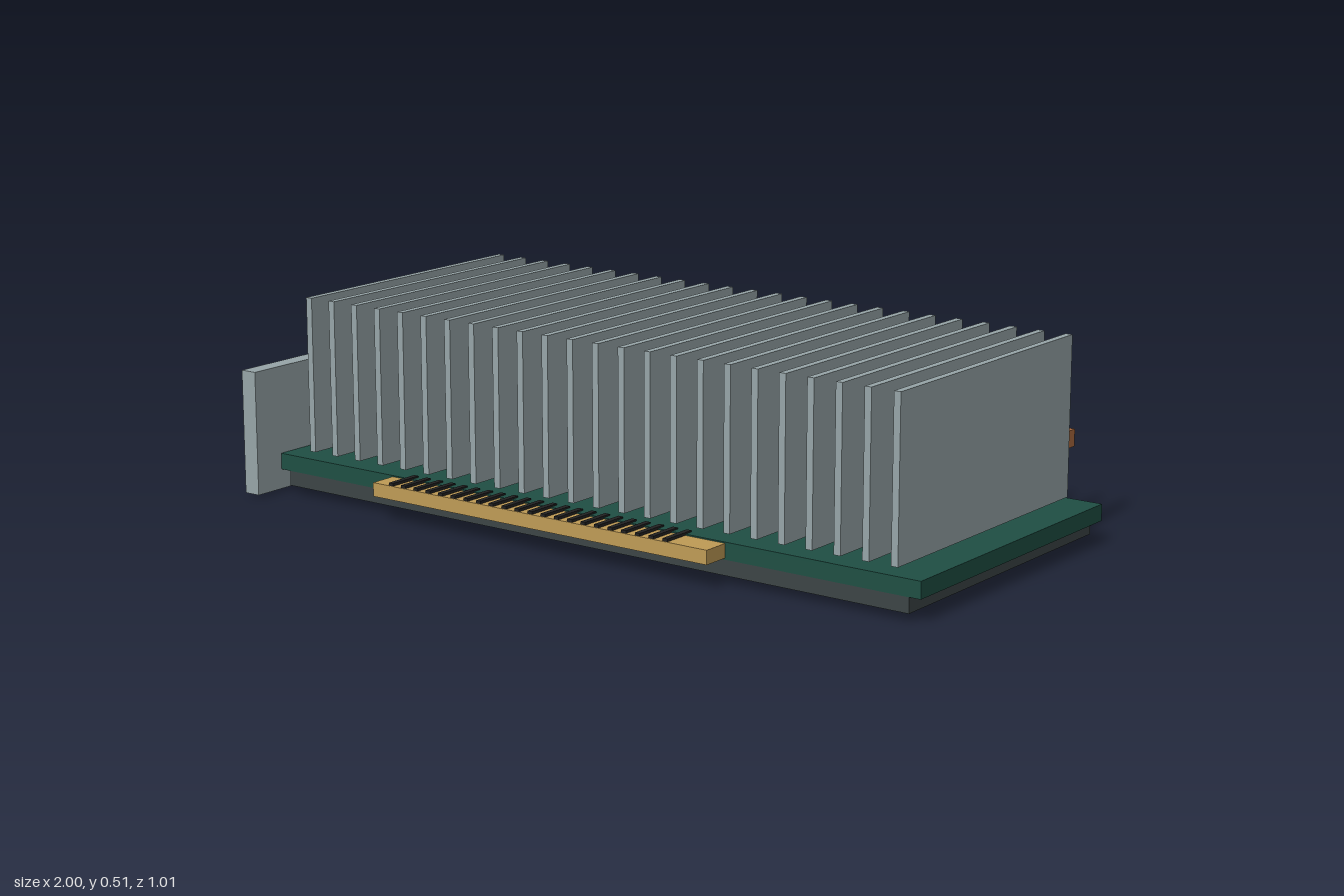
import * as THREE from 'three';

const mat = (name, color) => {
  const m = new THREE.MeshStandardMaterial({ color });
  m.name = name;
  return m;
};

export function createModel() {
  const model = new THREE.Group();
  model.name = 'expansionCard';

  const green = mat('boardGreen', 0x1f4f44);
  const slate = mat('backplateSlate', 0x3c4546);
  const steel = mat('steelGrey', 0x98a6a9);
  const copper = mat('copper', 0xad6b40);
  const gold = mat('gold', 0xc09c56);
  const black = mat('black', 0x222222);

  const add = (name, geometry, material) => {
    const mesh = new THREE.Mesh(geometry, material);
    mesh.name = name;
    model.add(mesh);
    return mesh;
  };
  // Box given by its extents on each axis
  const box = (name, material, [x0, x1], [y0, y1], [z0, z1]) => {
    const mesh = add(name, new THREE.BoxGeometry(x1 - x0, y1 - y0, z1 - z0), material);
    mesh.position.set((x0 + x1) / 2, (y0 + y1) / 2, (z0 + z1) / 2);
    return mesh;
  };

  // Circuit board and stiffening plate beneath it
  box('circuitBoard', green, [-0.925, 1], [0.058, 0.1], [-0.389, 0.424]);
  box('backplate', slate, [-0.895, 0.97], [0.02, 0.058], [-0.389, 0.424]);

  // Round feet under the corners
  for (const x of [-0.832, 0.905]) {
    for (const z of [-0.295, 0.331]) {
      const foot = add('foot', new THREE.CylinderGeometry(0.025, 0.025, 0.02, 24), steel);
      foot.position.set(x, 0.01, z);
    }
  }

  // Heatsink fins
  for (let i = 0; i < 24; i++) {
    const x = -0.84 + i * 0.0762;
    box('heatsinkFin', steel, [x - 0.009, x + 0.009], [0.111, 0.51], [-0.36, 0.396]);
  }

  // Arched heat pipes through the fins
  for (const z of [-0.221, 0.244]) {
    const path = new THREE.QuadraticBezierCurve3(
      new THREE.Vector3(-0.732, 0.152, z),
      new THREE.Vector3(0.035, 0.326, z),
      new THREE.Vector3(0.802, 0.152, z));
    add('heatPipe', new THREE.TubeGeometry(path, 40, 0.024, 16), copper);
    // End caps
    for (const t of [0, 1]) {
      const cap = add('heatPipeCap', new THREE.CircleGeometry(0.024, 16), copper);
      cap.position.copy(path.getPoint(t));
      const outward = path.getTangent(t).multiplyScalar(t ? 1 : -1);
      cap.quaternion.setFromUnitVectors(new THREE.Vector3(0, 0, 1), outward);
    }
  }

  // Straight copper bar along the back
  box('busBar', copper, [-0.825, 0.895], [0.218, 0.261], [-0.434, -0.4]);

  // Mounting bracket with three ports
  box('bracket', steel, [-0.973, -0.928], [0.006, 0.326], [-0.474, 0.507]);
  for (const z of [-0.265, 0.003, 0.275]) {
    box('port', black, [-1, -0.973], [0.12, 0.204], [z - 0.075, z + 0.075]);
  }

  // Edge connector with its row of contacts
  box('edgeConnector', gold, [-0.545, 0.472], [0.062, 0.097], [0.424, 0.496]);
  for (let i = 0; i < 22; i++) {
    const x = -0.488 + i * 0.04;
    box('edgeContact', black, [x - 0.007, x + 0.007], [0.097, 0.104], [0.4, 0.494]);
  }

  // Power socket with four pins
  box('powerSocket', black, [0.664, 0.824], [0.106, 0.198], [-0.495, -0.385]);
  for (let i = 0; i < 4; i++) {
    const x = 0.689 + i * 0.0365;
    box('powerPin', gold, [x - 0.009, x + 0.009], [0.15, 0.184], [-0.507, -0.495]);
  }

  return model;
}
